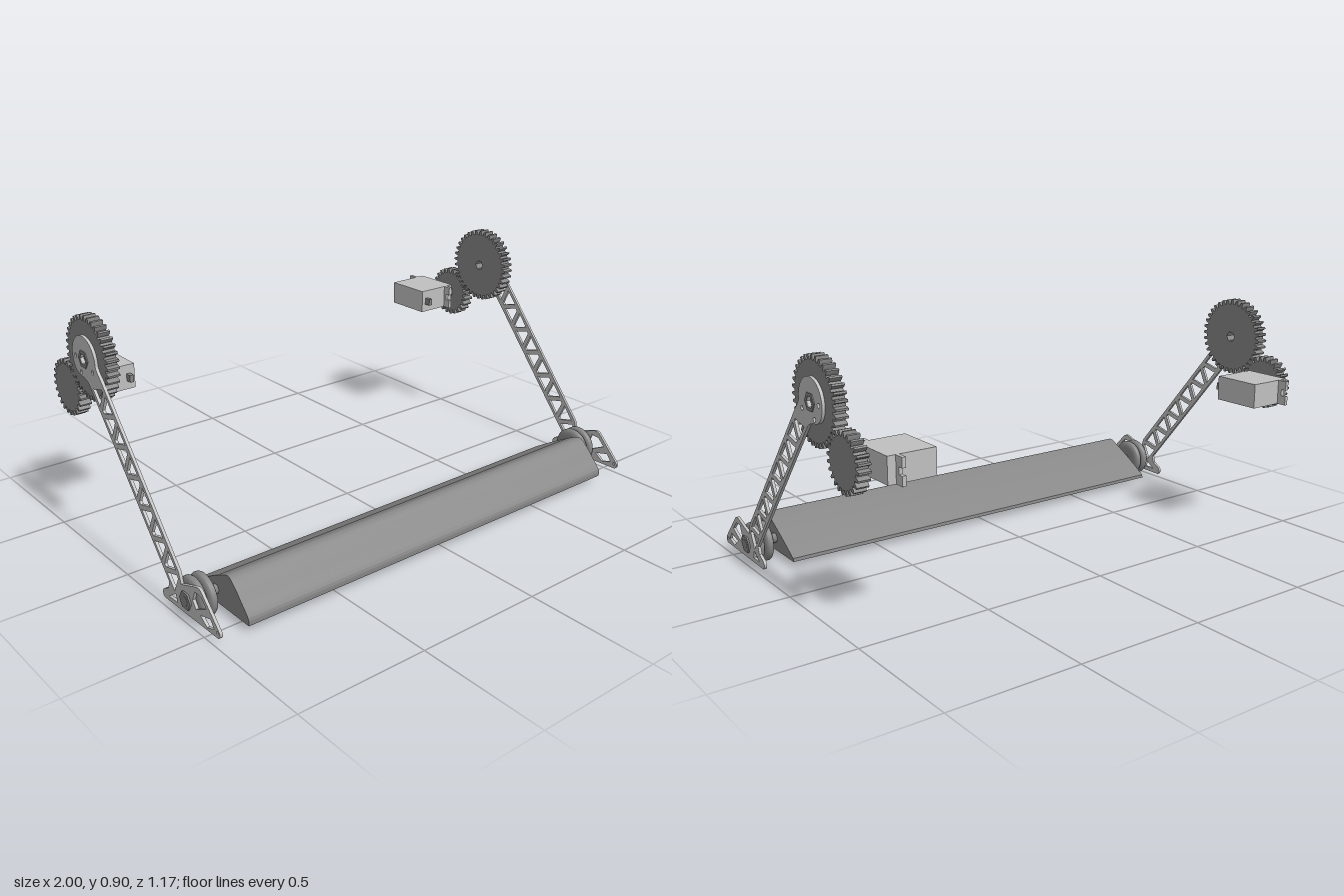
import * as THREE from 'three';
import { toCreasedNormals } from 'three/addons/utils/BufferGeometryUtils.js';

const lightMetal = new THREE.MeshStandardMaterial({ color: 0xc0c0c0 });
lightMetal.name = 'light metal';
const darkGrey = new THREE.MeshStandardMaterial({ color: 0x868686 });
darkGrey.name = 'dark grey';

// Profiles are drawn as (z, y) and extruded along x, centred on x = 0.
function sidePlate(shape, width, segments = 16) {
  const g = new THREE.ExtrudeGeometry(shape, { depth: width, bevelEnabled: false, curveSegments: segments });
  g.translate(0, 0, -width / 2);
  g.rotateY(-Math.PI / 2);
  return toCreasedNormals(g, 0.45);
}

function polygon(points) {
  return new THREE.Path(points.map(([z, y]) => new THREE.Vector2(z, y)));
}

function regular(cz, cy, r, n, turn = 0) {
  const pts = [];
  for (let i = 0; i < n; i++) {
    const a = turn + (i * 2 * Math.PI) / n;
    pts.push([cz + r * Math.cos(a), cy + r * Math.sin(a)]);
  }
  return polygon(pts);
}

function xCylinder(r, length, sides) {
  const g = new THREE.CylinderGeometry(r, r, length, sides);
  g.rotateZ(Math.PI / 2);
  return g;
}

// Spur gear with trapezoid teeth and a hexagonal bore
function gearGeometry(teeth, pitch, module, width, bore, turn) {
  const root = pitch - module * 1.25, tip = pitch + module;
  const step = (2 * Math.PI) / teeth;
  const pts = [];
  for (let i = 0; i < teeth; i++) {
    for (const [f, r] of [[-0.3, root], [-0.25, pitch], [-0.13, tip], [0.13, tip], [0.25, pitch], [0.3, root]]) {
      const a = turn + (i + f) * step;
      pts.push(new THREE.Vector2(r * Math.cos(a), r * Math.sin(a)));
    }
  }
  const shape = new THREE.Shape(pts);
  if (bore) shape.holes.push(regular(0, 0, bore, 6));
  return sidePlate(shape, width);
}

// Arm and pointed foot in one plate, with truss cut-outs
function armGeometry() {
  const s = new THREE.Shape();
  s.moveTo(0.571, 0.032);
  s.quadraticCurveTo(0.588, 0.042, 0.578, 0.058);
  s.lineTo(0.481, 0.158);
  s.quadraticCurveTo(0.47, 0.169, 0.452, 0.165);
  s.lineTo(0.356, 0.13);
  s.lineTo(0.345, 0.17);
  s.lineTo(-0.104, 0.708);
  s.quadraticCurveTo(-0.134, 0.735, -0.134, 0.751);
  s.absarc(-0.218, 0.751, 0.084, 0, 3.6, false);
  s.quadraticCurveTo(-0.28, 0.688, -0.25, 0.684);
  s.quadraticCurveTo(-0.21, 0.682, -0.191, 0.664);
  s.lineTo(0.278, 0.104);
  s.lineTo(0.27, 0.076);
  s.lineTo(0.24, 0.06);
  s.quadraticCurveTo(0.222, 0.045, 0.24, 0.027);

  // foot windows
  s.holes.push(polygon([[0.548, 0.055], [0.528, 0.083], [0.468, 0.068], [0.505, 0.041]]));
  s.holes.push(polygon([[0.506, 0.109], [0.476, 0.14], [0.44, 0.142], [0.424, 0.104], [0.442, 0.077]]));
  s.holes.push(polygon([[0.327, 0.046], [0.316, 0.075], [0.272, 0.045]]));
  s.holes.push(regular(0.566, 0.051, 0.006, 8));

  // truss triangles, alternating sides
  const start = new THREE.Vector2(-0.118, 0.652), end = new THREE.Vector2(0.315, 0.131);
  const dir = end.clone().sub(start).normalize();
  const count = 13;
  for (let i = 0; i < count; i++) {
    const c = start.clone().lerp(end, i / (count - 1));
    const side = i % 2 ? 1 : -1;
    const at = (along, across) => [
      c.x + dir.x * along - dir.y * across * side,
      c.y + dir.y * along + dir.x * across * side,
    ];
    s.holes.push(polygon([at(-0.036, 0.033), at(0.036, 0.033), at(0.028, 0.022),
      at(0.006, -0.026), at(-0.006, -0.026), at(-0.028, 0.022)]));
  }

  // head bore and screw holes
  s.holes.push(regular(-0.218, 0.751, 0.021, 6));
  for (const [z, y] of [[-0.277, 0.75], [-0.244, 0.697], [-0.157, 0.719]]) {
    s.holes.push(regular(z, y, 0.01, 4, 0.4));
  }
  return sidePlate(s, 0.011);
}

// Long wedge with a rounded nose and flat underside
function beamGeometry() {
  const s = new THREE.Shape();
  s.moveTo(0.23, 0.032);
  s.lineTo(0.573, 0.032);
  s.splineThru([[0.57, 0.06], [0.535, 0.1], [0.5, 0.138], [0.462, 0.165], [0.42, 0.152],
    [0.33, 0.104], [0.232, 0.045]].map(([z, y]) => new THREE.Vector2(z, y)));
  return sidePlate(s, 1.75, 32);
}

function wheelGeometry() {
  const profile = [[0.016, -0.016], [0.05, -0.016], [0.064, -0.015], [0.075, -0.009], [0.078, -0.004],
    [0.078, 0.004], [0.075, 0.009], [0.064, 0.015], [0.05, 0.016], [0.016, 0.016]];
  const g = new THREE.LatheGeometry(profile.map(([r, y]) => new THREE.Vector2(r, y)), 40);
  g.rotateZ(Math.PI / 2);
  return toCreasedNormals(g, 0.7);
}

// Mounting flange with an open slot at both ends
function flangeGeometry() {
  const shape = new THREE.Shape(polygon([[-0.588, 0.54], [-0.326, 0.54], [-0.326, 0.575], [-0.345, 0.575],
    [-0.345, 0.6], [-0.326, 0.6], [-0.326, 0.635], [-0.588, 0.635], [-0.588, 0.6], [-0.567, 0.6],
    [-0.567, 0.575], [-0.588, 0.575]]).getPoints());
  return sidePlate(shape, 0.014);
}

function ringGeometry(outer, bore, width) {
  const shape = new THREE.Shape(regular(0, 0, outer, 6).getPoints());
  shape.holes.push(regular(0, 0, bore, 6));
  return sidePlate(shape, width);
}

export function createModel() {
  const model = new THREE.Group();
  model.name = 'geared lifting arm';

  const add = (parent, name, geometry, material, x, y = 0, z = 0) => {
    const mesh = new THREE.Mesh(geometry, material);
    mesh.name = name;
    mesh.position.set(x, y, z);
    parent.add(mesh);
  };

  add(model, 'wedgeBeam', beamGeometry(), darkGrey, 0);

  const tooth = 0.00813;
  const arm = armGeometry();
  const bigGear = gearGeometry(36, 18 * tooth, tooth, 0.045, 0.021, 0);
  const smallGear = gearGeometry(24, 12 * tooth, tooth, 0.045, 0, 0.1);
  const wheel = wheelGeometry();
  const flange = flangeGeometry();
  const ring = ringGeometry(0.034, 0.021, 0.006);

  // Both ends use the same parts, placed at mirrored x
  for (const [label, s] of [['left', 1], ['right', -1]]) {
    const side = new THREE.Group();
    side.name = label + 'Side';
    model.add(side);

    add(side, 'arm', arm, lightMetal, s * 0.985);
    add(side, 'bigGear', bigGear, darkGrey, s * 0.956, 0.751, -0.218);
    add(side, 'gearHubRing', ring, darkGrey, s * 0.991, 0.751, -0.218);
    add(side, 'smallGear', smallGear, darkGrey, s * 0.956, 0.589, -0.4);

    // wheels and axle at the foot
    add(side, 'outerWheel', wheel, darkGrey, s * 0.962, 0.083, 0.383);
    add(side, 'innerWheel', wheel, darkGrey, s * 0.925, 0.083, 0.383);
    add(side, 'axle', xCylinder(0.019, 0.128, 6), darkGrey, s * 0.934, 0.083, 0.383);
    add(side, 'axleNut', xCylinder(0.034, 0.008, 6), darkGrey, s * 0.993, 0.083, 0.383);

    // servo motor
    add(side, 'servoBody', new THREE.BoxGeometry(0.178, 0.095, 0.192), lightMetal, s * 0.815, 0.5875, -0.454);
    add(side, 'servoFlange', flange, lightMetal, s * 0.867);
    add(side, 'servoCable', new THREE.BoxGeometry(0.016, 0.028, 0.03), darkGrey, s * 0.752, 0.587, -0.347);
    add(side, 'servoCollar', xCylinder(0.036, 0.012, 24), lightMetal, s * 0.908, 0.589, -0.4);
    add(side, 'servoShaft', xCylinder(0.022, 0.036, 20), lightMetal, s * 0.92, 0.589, -0.4);
  }
  return model;
}
